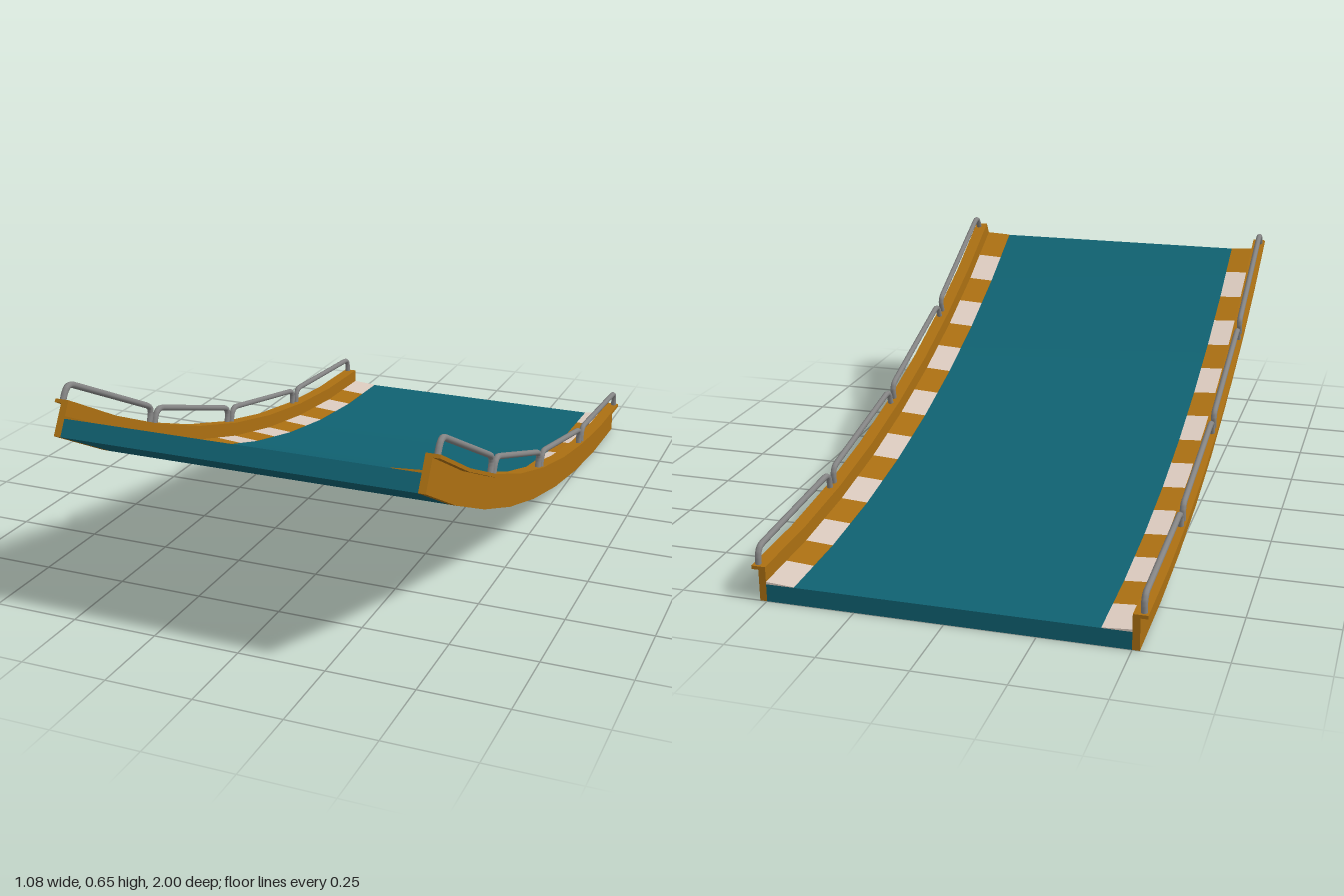
import * as THREE from 'three';
import { toCreasedNormals } from 'three/addons/utils/BufferGeometryUtils.js';

const RADIUS = 4;                    // curve radius of the underside
const STEP = THREE.MathUtils.degToRad(3.75);
const SEGMENTS = 8;                  // 8 straight segments make a 30 degree arc

// Point on the faceted arc: t in segments, h = height above the underside.
function arcPoint(x, h, t) {
  const i = Math.min(Math.floor(t + 1e-6), SEGMENTS - 1);
  const node = (k) => new THREE.Vector3(
    x, RADIUS - (RADIUS - h) * Math.cos(k * STEP), (RADIUS - h) * Math.sin(k * STEP) - 1);
  return node(i).lerp(node(i + 1), t - i);
}

// Sweep a closed counter-clockwise [x, h] profile along the arc, with end caps.
function sweep(profile, t0, t1, steps) {
  const n = profile.length;
  const positions = [];
  const indices = [];
  for (let s = 0; s <= steps; s++) {
    const t = t0 + (t1 - t0) * s / steps;
    for (const [x, h] of profile) positions.push(...arcPoint(x, h, t).toArray());
  }
  for (let s = 0; s < steps; s++) {
    for (let j = 0; j < n; j++) {
      const a = s * n + j, b = s * n + (j + 1) % n;
      indices.push(a, b, b + n, a, b + n, a + n);
    }
  }
  const caps = THREE.ShapeUtils.triangulateShape(profile.map(([x, h]) => new THREE.Vector2(x, h)), []);
  const last = steps * n;
  for (const [a, b, c] of caps) indices.push(c, b, a, last + a, last + b, last + c);
  const geometry = new THREE.BufferGeometry();
  geometry.setAttribute('position', new THREE.Float32BufferAttribute(positions, 3));
  geometry.setIndex(indices);
  return toCreasedNormals(geometry, 0.3);
}

// Mirror a profile in x, keeping it counter-clockwise.
const mirrored = (profile, side) =>
  side > 0 ? profile : profile.map(([x, h]) => [-x, h]).reverse();

// Handrail hoop: two short posts joined by a straight bar with rounded corners.
function hoopGeometry(x, t0, t1) {
  const footA = arcPoint(x, 0.09, t0), footB = arcPoint(x, 0.09, t1);
  const topA = arcPoint(x, 0.146, t0), topB = arcPoint(x, 0.146, t1);
  const toward = (from, to, d) => from.clone().add(to.clone().sub(from).setLength(d));
  const r = 0.03;
  const bendA = [toward(topA, footA, r), topA, toward(topA, topB, r)];
  const bendB = [toward(topB, topA, r), topB, toward(topB, footB, r)];
  const curveA = new THREE.QuadraticBezierCurve3(...bendA);
  const curveB = new THREE.QuadraticBezierCurve3(...bendB);
  const points = [footA, ...curveA.getPoints(4), ...curveB.getPoints(4), footB];
  const path = new THREE.CurvePath();
  for (let i = 0; i < points.length - 1; i++) path.add(new THREE.LineCurve3(points[i], points[i + 1]));
  return new THREE.TubeGeometry(path, 90, 0.009, 8, false);
}

export function createModel() {
  const model = new THREE.Group();
  model.name = 'curvedTrack';
  const teal = new THREE.MeshStandardMaterial({ color: 0x106272 });
  const orange = new THREE.MeshStandardMaterial({ color: 0xac7012 });
  const cream = new THREE.MeshStandardMaterial({ color: 0xdccbbf });
  const metal = new THREE.MeshStandardMaterial({ color: 0x858585 });

  const add = (name, geometry, material, parent = model) => {
    const mesh = new THREE.Mesh(geometry, material);
    mesh.name = name;
    parent.add(mesh);
  };

  // Road deck
  add('deck', sweep([[-0.5, 0], [0.5, 0], [0.5, 0.05], [-0.5, 0.05]], 0, SEGMENTS, SEGMENTS), teal);

  const wall = [[0.5, 0], [0.52, 0], [0.52, 0.09], [0.54, 0.09], [0.54, 0.1], [0.5, 0.1]];
  const kerb = [[0.42, 0.05], [0.5, 0.05], [0.5, 0.057], [0.42, 0.0515]];

  for (const side of [1, -1]) {
    const edge = new THREE.Group();
    edge.name = side > 0 ? 'leftEdge' : 'rightEdge';
    model.add(edge);

    // Side wall with an outward lip
    add('sideWall', sweep(mirrored(wall, side), 0, SEGMENTS, SEGMENTS), orange, edge);

    // Striped kerb, two blocks per segment
    for (let i = 0; i < SEGMENTS * 2; i++) {
      add('kerbStripe', sweep(mirrored(kerb, side), i / 2, (i + 1) / 2, 1), i % 2 ? orange : cream, edge);
    }

    // Four handrail hoops
    for (let i = 0; i < 4; i++) {
      add('handrail', hoopGeometry(side * 0.526, i * 2 + 0.06, i * 2 + 1.94), metal, edge);
    }
  }
  return model;
}
